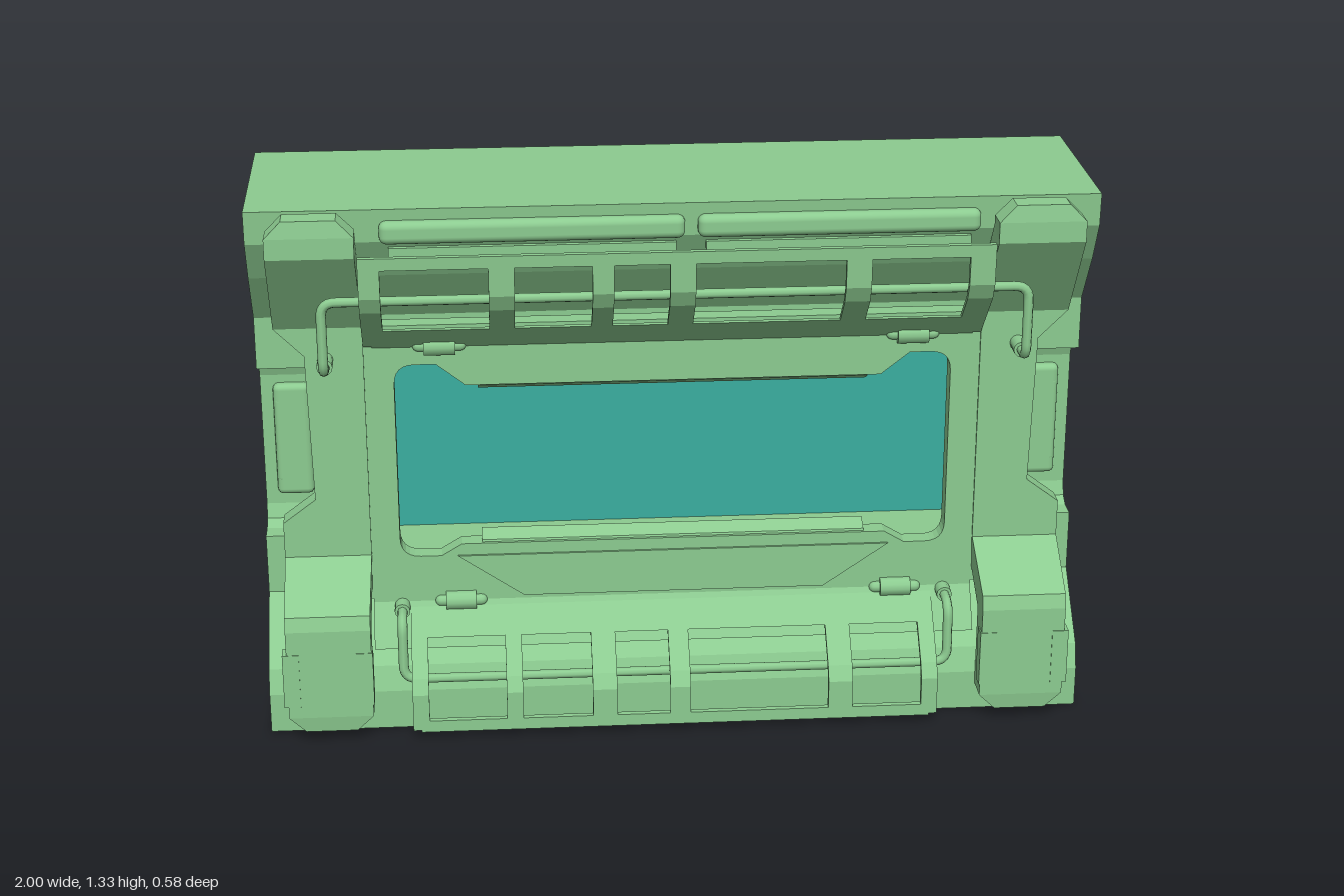
import * as THREE from 'three';
import { RoundedBoxGeometry } from 'three/addons/geometries/RoundedBoxGeometry.js';

const green = new THREE.MeshStandardMaterial({ color: 0x8ccb90 });
const flat = new THREE.MeshStandardMaterial({ color: 0x8ccb90, flatShading: true, side: THREE.DoubleSide });
const teal = new THREE.MeshStandardMaterial({ color: 0x3aaea0 });

const V = (x, y, z) => new THREE.Vector3(x, y, z);

function roundedRect(path, x0, y0, x1, y1, r) {
  path.moveTo(x0 + r, y0);
  path.lineTo(x1 - r, y0); path.quadraticCurveTo(x1, y0, x1, y0 + r);
  path.lineTo(x1, y1 - r); path.quadraticCurveTo(x1, y1, x1 - r, y1);
  path.lineTo(x0 + r, y1); path.quadraticCurveTo(x0, y1, x0, y1 - r);
  path.lineTo(x0, y0 + r); path.quadraticCurveTo(x0, y0, x0 + r, y0);
  return path;
}

// Extrude a plate lying in x-y between two depths
function plate(shape, z0, z1) {
  const g = new THREE.ExtrudeGeometry(shape, { depth: z1 - z0, bevelEnabled: false, curveSegments: 6 });
  return g.translate(0, 0, z0);
}

// Extrude a [z, y] profile along x
function alongX(points, x0, x1) {
  const shape = new THREE.Shape(points.map(p => new THREE.Vector2(p[0], p[1])));
  const g = new THREE.ExtrudeGeometry(shape, { depth: x1 - x0, bevelEnabled: false });
  return g.rotateY(-Math.PI / 2).translate(x1, 0, 0);
}

// Bent armour strip: stations of [zFront, yFront, zBack, yBack, xInner, xOuter]
function bentStrip(stations, side) {
  const pos = [], index = [];
  for (const [zf, yf, zb, yb, a, b] of stations) {
    const l = side > 0 ? a : -b, r = side > 0 ? b : -a;
    pos.push(l, yf, zf, r, yf, zf, r, yb, zb, l, yb, zb);
  }
  const n = stations.length;
  for (let i = 0; i < n - 1; i++) for (let k = 0; k < 4; k++) {
    const a = i * 4 + k, b = i * 4 + (k + 1) % 4;
    index.push(a, a + 4, b + 4, a, b + 4, b);
  }
  const e = (n - 1) * 4;
  index.push(0, 1, 2, 0, 2, 3, e, e + 2, e + 1, e, e + 3, e + 2);
  const g = new THREE.BufferGeometry();
  g.setAttribute('position', new THREE.Float32BufferAttribute(pos, 3));
  g.setIndex(index);
  g.computeVertexNormals();
  return g;
}

export function createModel() {
  const model = new THREE.Group();
  const add = (name, geo, mat = green, parent = model) => {
    const m = new THREE.Mesh(geo, mat);
    m.name = name;
    parent.add(m);
    return m;
  };

  // Rear wall with the window opening
  const wall = new THREE.Shape([[-1, 0], [1, 0], [1, 1.33], [-1, 1.33]].map(p => new THREE.Vector2(...p)));
  wall.holes.push(roundedRect(new THREE.Path(), -0.775, 0.39, 0.775, 0.95, 0.04));
  add('rearWall', plate(wall, -0.29, -0.04));
  const glass = roundedRect(new THREE.Shape(), -0.775, 0.39, 0.775, 0.95, 0.04);
  add('windowGlass', plate(glass, -0.26, -0.13), teal);

  // Front bulk above and below the window; the ends have filleted shelves
  const lower = [[-0.04, 0], [0.22, 0], [0.22, 0.1], [0.2, 0.16], [0.05, 0.3]];
  const upper = [[0.05, 1.02], [0.14, 1.15], [0.195, 1.25], [0.2, 1.33], [-0.04, 1.33]];
  add('lowerBulk', alongX([...lower, [0.05, 0.39], [-0.04, 0.39]], -0.775, 0.775));
  add('upperBulk', alongX([[-0.04, 0.95], [0.05, 0.95], ...upper], -0.775, 0.775));
  for (const [x0, x1] of [[-1, -0.775], [0.775, 1]]) {
    add('lowerBulkEnd', alongX([...lower, [0.05, 0.45], [0, 0.45], [-0.028, 0.465], [-0.04, 0.5]], x0, x1));
    add('upperBulkEnd', alongX([[-0.04, 0.84], [-0.028, 0.876], [0, 0.89], [0.05, 0.89], ...upper], x0, x1));
  }

  // Window frame with stepped-in middle edges
  const frame = new THREE.Shape([[-0.76, 0.31], [0.76, 0.31], [0.76, 1.02], [-0.76, 1.02]].map(p => new THREE.Vector2(...p)));
  const hole = new THREE.Path();
  hole.moveTo(-0.52, 0.45);
  hole.lineTo(0.52, 0.45); hole.lineTo(0.57, 0.42); hole.lineTo(0.62, 0.42);
  hole.quadraticCurveTo(0.67, 0.42, 0.67, 0.47); hole.lineTo(0.67, 0.87);
  hole.quadraticCurveTo(0.67, 0.92, 0.62, 0.92); hole.lineTo(0.57, 0.92);
  hole.lineTo(0.5, 0.865); hole.lineTo(-0.5, 0.865); hole.lineTo(-0.57, 0.92); hole.lineTo(-0.62, 0.92);
  hole.quadraticCurveTo(-0.67, 0.92, -0.67, 0.87); hole.lineTo(-0.67, 0.47);
  hole.quadraticCurveTo(-0.67, 0.42, -0.62, 0.42); hole.lineTo(-0.57, 0.42);
  hole.closePath();
  frame.holes.push(hole);
  add('windowFrame', plate(frame, 0.083, 0.13));
  add('lowerSill', alongX([[0.083, 0.44], [0.125, 0.44], [0.12, 0.455], [0.083, 0.472]], -0.47, 0.47));
  add('upperSill', alongX([[0.083, 0.84], [0.12, 0.86], [0.125, 0.88], [0.083, 0.88]], -0.47, 0.47));
  const apron = new THREE.Shape([[-0.53, 0.42], [-0.37, 0.31], [0.37, 0.31], [0.53, 0.42]].map(p => new THREE.Vector2(...p)));
  add('sillApron', plate(apron, 0.12, 0.136));
  // Sloped skirts joining the frame to the bulk
  add('lowerSkirt', alongX([[0.083, 0.33], [0.13, 0.33], [0.13, 0.3], [0.19, 0.2], [0.14, 0.2]], -0.74, 0.74));

  // Pillars, side grips and slot clips
  const pillar = [
    [0.278, 1.33, 0.22, 1.33, 0.785, 0.91], [0.285, 1.29, 0.22, 1.29, 0.745, 0.95],
    [0.285, 1.24, 0.22, 1.27, 0.745, 0.95], [0.135, 1.02, 0.08, 1.05, 0.74, 0.95],
    [0.135, 0.95, 0.08, 0.95, 0.74, 0.88], [0.135, 0.58, 0.08, 0.58, 0.74, 0.87],
    [0.135, 0.52, 0.08, 0.52, 0.74, 0.95], [0.135, 0.43, 0.08, 0.385, 0.74, 0.95],
    [0.28, 0.335, 0.22, 0.28, 0.745, 0.95], [0.29, 0.3, 0.22, 0.25, 0.745, 0.95],
    [0.29, 0.07, 0.22, 0.07, 0.745, 0.95], [0.285, 0.03, 0.22, 0.03, 0.785, 0.91],
  ];
  for (const s of [-1, 1]) {
    add('pillar', bentStrip(pillar, s), flat);
    add('sideGrip', new RoundedBoxGeometry(0.09, 0.29, 0.05, 2, 0.015).translate(s * 0.925, 0.675, -0.043));
    add('gripPad', new RoundedBoxGeometry(0.035, 0.22, 0.03, 2, 0.01).translate(s * 0.95, 0.675, -0.033));
    for (const x of [0.94, 0.762])
      add('slotClip', new THREE.BoxGeometry(0.04, 0.14, 0.04).translate(s * x, 0.17, 0.272));
  }

  // Guards: thin bent sheets made of ribs and two rails
  const offset = (pts, t) => [...pts, ...pts.map(([z, y]) => [z - t, y]).reverse()];
  function guard(name, ribs, full, rails) {
    const g = new THREE.Group();
    g.name = name;
    for (const [a, b] of ribs) add('rib', alongX(offset(full, 0.015), a, b), flat, g);
    const x0 = ribs[0][0], x1 = ribs[ribs.length - 1][1];
    for (const r of rails) add('rail', alongX(offset(r, 0.0148), x0 + 0.02, x1 - 0.02), flat, g);
    model.add(g);
  }
  guard('upperGuard',
    [[-0.74, -0.69], [-0.44, -0.38], [-0.2, -0.15], [-0.02, 0.04], [0.39, 0.45], [0.68, 0.74]],
    [[0.135, 0.97], [0.265, 1.1], [0.285, 1.14], [0.29, 1.24]],
    [[[0.125, 0.96], [0.195, 1.03]], [[0.2885, 1.21], [0.29, 1.24]]]);
  guard('lowerGuard',
    [[-0.65, -0.61], [-0.42, -0.38], [-0.21, -0.15], [-0.02, 0.03], [0.37, 0.43], [0.6, 0.64]],
    [[0.29, 0.025], [0.29, 0.12], [0.27, 0.155], [0.12, 0.305]],
    [[[0.29, 0.02], [0.29, 0.05]], [[0.195, 0.23], [0.12, 0.305]]]);

  // Handrails running behind the guards, bent back into the frame
  function handrail(name, half, r) {
    const path = new THREE.CurvePath();
    const pts = [...half.map(p => V(-p[0], p[1], p[2])).reverse(), ...half.map(p => V(...p))];
    // Straight runs joined by rounded corners
    let prev = pts[0];
    for (let i = 1; i < pts.length - 1; i++) {
      const c = pts[i];
      const cut = q => c.clone().add(q.clone().sub(c).setLength(Math.min(0.035, q.distanceTo(c) * 0.48)));
      const a = cut(pts[i - 1]), b = cut(pts[i + 1]);
      path.add(new THREE.LineCurve3(prev, a));
      path.add(new THREE.QuadraticBezierCurve3(a, c, b));
      prev = b;
    }
    path.add(new THREE.LineCurve3(prev, pts[pts.length - 1]));
    add(name, new THREE.TubeGeometry(path, 220, r, 8));
  }
  handrail('upperHandrail', [[0.72, 1.12, 0.24], [0.83, 1.12, 0.24], [0.83, 0.94, 0.24], [0.83, 0.94, 0.12]], 0.012);
  handrail('lowerHandrail', [[0.6, 0.14, 0.235], [0.67, 0.14, 0.235], [0.67, 0.29, 0.225], [0.67, 0.29, 0.08]], 0.012);
  for (const [x, y, z] of [[0.83, 0.94, 0.16], [0.67, 0.29, 0.14]]) for (const s of [-1, 1])
    add('railCollar', new THREE.CylinderGeometry(0.019, 0.019, 0.055, 12).rotateX(Math.PI / 2).translate(s * x, y, z));

  // Hinges
  for (const [x, y] of [[-0.56, 0.968], [0.575, 0.968], [-0.525, 0.3], [0.55, 0.3]]) {
    add('hingePin', new THREE.CapsuleGeometry(0.014, 0.1, 4, 10).rotateZ(Math.PI / 2).translate(x, y, 0.13));
    add('hingeBarrel', new THREE.CylinderGeometry(0.024, 0.024, 0.075, 12).rotateZ(Math.PI / 2).translate(x, y, 0.13));
    add('hingeBase', new THREE.BoxGeometry(0.06, 0.035, 0.06).translate(x, y, 0.1));
  }

  // Twin bars under the top edge
  for (const [a, b] of [[-0.69, 0.02], [0.05, 0.715]]) {
    add('topBar', new RoundedBoxGeometry(b - a, 0.055, 0.05, 3, 0.018).translate((a + b) / 2, 1.275, 0.197));
    add('topBarTrim', new THREE.BoxGeometry(b - a - 0.04, 0.02, 0.04).translate((a + b) / 2, 1.225, 0.18));
  }
  return model;
}
